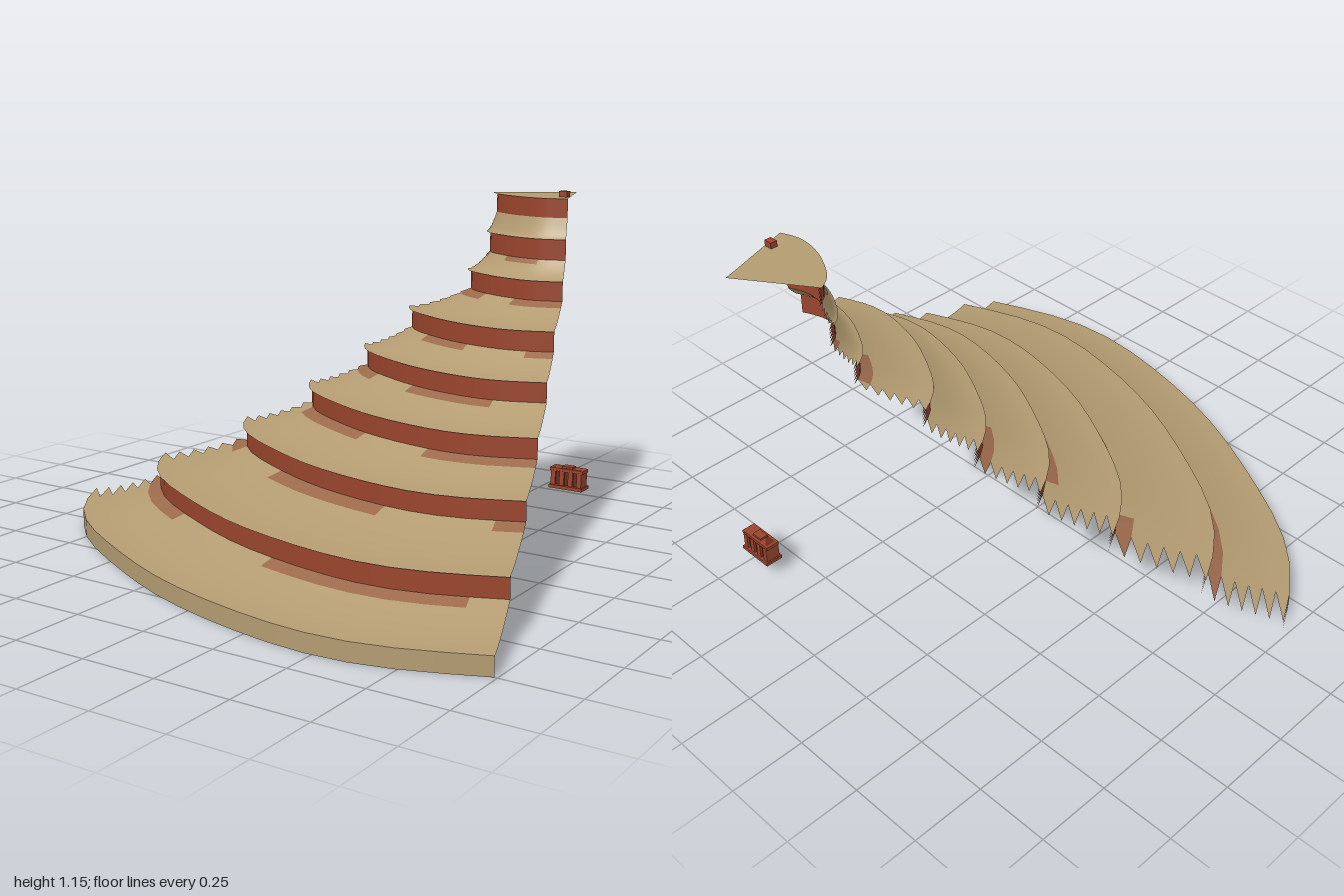
import * as THREE from 'three';

const mat = (name, color, side = THREE.DoubleSide) => {
  const m = new THREE.MeshStandardMaterial({ color, side });
  m.name = name;
  return m;
};

// Wedge apex and angular range (angles measured from +z towards +x)
const CX = 0.44, CZ = -0.855;
const A0 = -0.985, A1 = 0.331, COLS = 17;
const angle = k => A0 + (A1 - A0) * k / COLS;

// Gentle waviness of the cliff line
const wave = a => 1 + 0.011 * Math.cos(8 * a) + 0.004 * Math.sin(13 * a);
const place = (r, y, a) => [CX + r * wave(a) * Math.sin(a), y, CZ + r * wave(a) * Math.cos(a)];

// Swept strip through profile rows [radius, y]; the left column keeps only
// one triangle per cell, which leaves a saw-toothed edge.
// pick(row, angle) chooses the material index of each cell.
function strip(name, rows, materials, pick = () => 0) {
  const pos = [], lists = materials.map(() => []);
  for (const [r, y] of rows)
    for (let k = 0; k <= COLS; k++) pos.push(...place(r, y, angle(k)));
  for (let j = 0; j < rows.length - 1; j++) {
    for (let k = 0; k < COLS; k++) {
      const a = j * (COLS + 1) + k, b = a + 1, d = a + COLS + 1, c = d + 1;
      const list = lists[pick(j, angle(k + 0.5))];
      list.push(a, b, c);
      if (k > 0) list.push(a, c, d);
    }
  }
  const g = new THREE.BufferGeometry();
  g.setAttribute('position', new THREE.Float32BufferAttribute(pos, 3));
  g.setIndex(lists.flat());
  let start = 0;
  lists.forEach((l, i) => { g.addGroup(start, l.length, i); start += l.length; });
  g.computeVertexNormals();
  const mesh = new THREE.Mesh(g, materials);
  mesh.name = name;
  return mesh;
}

const lerpRows = (n, f) => Array.from({ length: n + 1 }, (_, i) => f(i / n));

export function createModel() {
  const sand = mat('sand', 0xb49c72);
  const redRock = mat('red rock', 0x9a452d);
  const scree = mat('reddish scree', 0x9c6a4c);
  const pale = mat('pale window', 0xa9a679);
  const darkRock = mat('dark red rock', 0x6b2a1c);

  const group = new THREE.Group();
  group.name = 'terracedHill';

  // Cliff bands: radius, foot height, top height, angle of the inner window
  const bands = [
    [1.455, 0.125, 0.193, null],
    [1.155, 0.262, 0.328, -0.68],
    [0.925, 0.395, 0.463, -0.12],
    [0.73, 0.53, 0.597, -0.47],
    [0.573, 0.665, 0.733, -0.86],
    [0.367, 0.8, 0.867, -0.31],
    [0.302, 0.93, 1.0, -0.58],
    [0.28, 1.07, 1.135, -0.14],
  ];

  // Outer rim wall
  let r0 = 1.72, y0 = 0.06;
  group.add(strip('rimWall', lerpRows(4, t => [r0, y0 * t]), [sand]));

  bands.forEach(([r, foot, top, win], i) => {
    // Concave slope rising to the cliff, with patches of scree at its foot
    const n = 6, from = r0 + (i ? 0.012 : 0);
    const slope = lerpRows(n, t => [from + (r - from) * t, y0 + (foot - y0) * Math.pow(t, 1.6)]);
    const patchy = (j, a) => (j === n - 1 && Math.cos(8 * a + i * 2.4) > -0.2 && i < 7 ? 1 : 0);
    group.add(strip('slope' + (i + 1), slope, [sand, scree], patchy));
    // Vertical cliff
    group.add(strip('cliff' + (i + 1), lerpRows(5, t => [r, foot + (top - foot) * t]), [redRock]));
    // Small pale window on the inside of the cliff
    if (win !== null) {
      const w = new THREE.Mesh(new THREE.BoxGeometry(0.034, 0.022, 0.008), pale);
      w.name = 'window' + (i + 1);
      w.position.set(...place(r - 0.012, (foot + top) / 2 - 0.008, win));
      w.rotation.y = win;
      group.add(w);
    }
    r0 = r; y0 = top;
  });

  // Flat summit fan
  const pos = [CX, y0, CZ], idx = [];
  for (let k = 0; k <= COLS; k++) pos.push(...place(r0 + 0.012, y0, angle(k)));
  for (let k = 1; k <= COLS; k++) idx.push(0, k, k + 1);
  const fan = new THREE.BufferGeometry();
  fan.setAttribute('position', new THREE.Float32BufferAttribute(pos, 3));
  fan.setIndex(idx);
  fan.computeVertexNormals();
  const summit = new THREE.Mesh(fan, sand);
  summit.name = 'summit';
  group.add(summit);

  const box = (parent, name, w, h, d, x, y, z, m) => {
    const b = new THREE.Mesh(new THREE.BoxGeometry(w, h, d), m);
    b.name = name;
    b.position.set(x, y, z);
    parent.add(b);
  };

  // Small marker on the summit
  box(group, 'summitMarker', 0.03, 0.02, 0.024, 0.49, 1.145, -0.65, redRock);

  // Little ribbed block standing apart behind the hill
  const block = new THREE.Group();
  block.name = 'ribbedBlock';
  block.position.set(CX, 0, -0.857);
  box(block, 'blockCore', 0.112, 0.07, 0.034, 0, 0.1, 0, darkRock);
  box(block, 'blockBase', 0.13, 0.012, 0.062, 0, 0.066, 0, redRock);
  box(block, 'blockCap', 0.13, 0.012, 0.048, 0, 0.129, 0, redRock);
  box(block, 'blockRidge', 0.04, 0.008, 0.03, 0, 0.138, 0, redRock);
  for (let i = 0; i < 4; i++)
    box(block, 'blockRib', 0.018, 0.056, 0.05, -0.051 + i * 0.034, 0.098, 0, redRock);
  group.add(block);

  return group;
}
